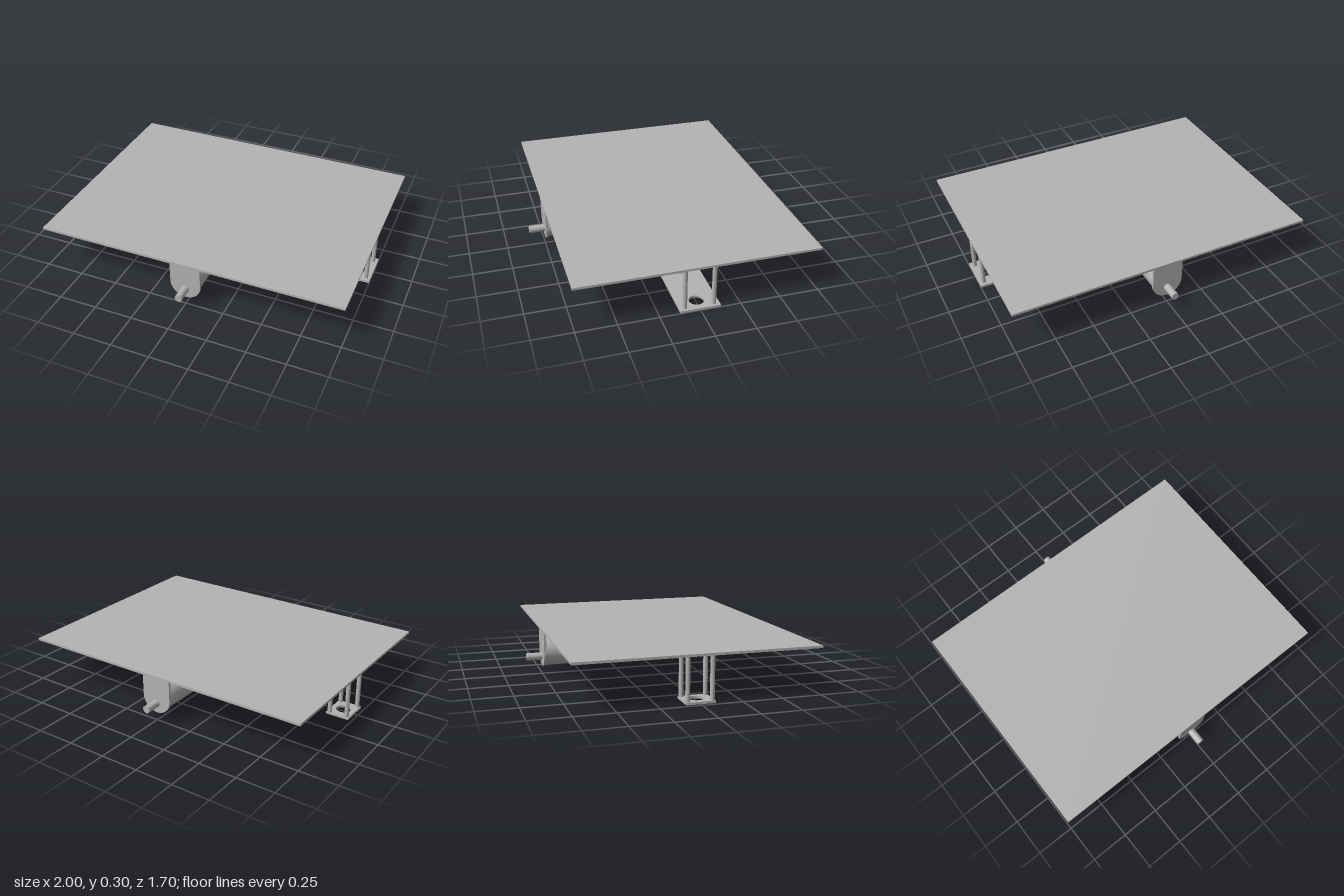
import * as THREE from 'three';

const T = 0.015; // sheet thickness
const DECK_BOTTOM = 0.285;

export function createModel() {
  const model = new THREE.Group();
  model.name = 'motorChassis';
  const grey = new THREE.MeshStandardMaterial({ color: 0xb3b3b3 });
  grey.name = 'plain grey';

  const add = (parent, name, geometry, x, y, z) => {
    const mesh = new THREE.Mesh(geometry, grey);
    mesh.name = name;
    mesh.position.set(x, y, z);
    parent.add(mesh);
    return mesh;
  };

  // Large flat deck
  add(model, 'deck', new THREE.BoxGeometry(2, T, 1.5), 0, DECK_BOTTOM + T / 2, 0);

  // Motor on an angle bracket with a rounded lower end and an offset shaft
  const createMotor = (name) => {
    const motor = new THREE.Group();
    motor.name = name;
    const face = new THREE.Shape();
    face.moveTo(0.1, DECK_BOTTOM);
    face.lineTo(-0.1, DECK_BOTTOM);
    face.lineTo(-0.1, 0.153);
    face.absarc(0, 0.153, 0.1, Math.PI, Math.PI * 2, false);
    face.closePath();
    const faceGeometry = new THREE.ExtrudeGeometry(face, { depth: T, bevelEnabled: false, curveSegments: 32 });
    add(motor, 'bracketFace', faceGeometry, 0, 0, 0.735);
    add(motor, 'bracketTab', new THREE.BoxGeometry(0.2, T, 0.2), 0, DECK_BOTTOM - T / 2, 0.635);
    const body = new THREE.CylinderGeometry(0.09, 0.09, 0.275, 48).rotateX(Math.PI / 2);
    add(motor, 'motorBody', body, 0, 0.153, 0.5975);
    const shaft = new THREE.CylinderGeometry(0.024, 0.024, 0.115, 24).rotateX(Math.PI / 2);
    add(motor, 'motorShaft', shaft, 0, 0.117, 0.7925);
    return motor;
  };
  const frontMotor = createMotor('frontMotor');
  const backMotor = createMotor('backMotor');
  backMotor.rotation.y = Math.PI;
  model.add(frontMotor, backMotor);

  // Low plate with a round hole, hung from the deck on thin posts
  const addHungPlate = (name, x0, x1, halfDepth, holeX, posts) => {
    const group = new THREE.Group();
    group.name = name;
    const outline = new THREE.Shape();
    outline.moveTo(x0, -halfDepth);
    outline.lineTo(x1, -halfDepth);
    outline.lineTo(x1, halfDepth);
    outline.lineTo(x0, halfDepth);
    outline.closePath();
    const hole = new THREE.Path();
    hole.absarc(holeX, 0, 0.046, 0, Math.PI * 2, true);
    outline.holes.push(hole);
    const plate = new THREE.ExtrudeGeometry(outline, { depth: T, bevelEnabled: false, curveSegments: 32 });
    plate.rotateX(-Math.PI / 2);
    add(group, 'lowerPlate', plate, 0, 0, 0);
    const height = DECK_BOTTOM - T;
    const postGeometry = new THREE.CylinderGeometry(0.014, 0.014, height, 20);
    for (const [x, z] of posts) add(group, 'post', postGeometry, x, T + height / 2, z);
    model.add(group);
  };
  addHungPlate('longHungPlate', 0.55, 1, 0.125, 0.917, [[0.97, 0.09], [0.97, -0.09], [0.613, 0]]);
  addHungPlate('shortHungPlate', -0.978, -0.825, 0.09, -0.9,
    [[-0.958, 0.075], [-0.958, -0.075], [-0.842, 0.075], [-0.842, -0.075]]);

  return model;
}
